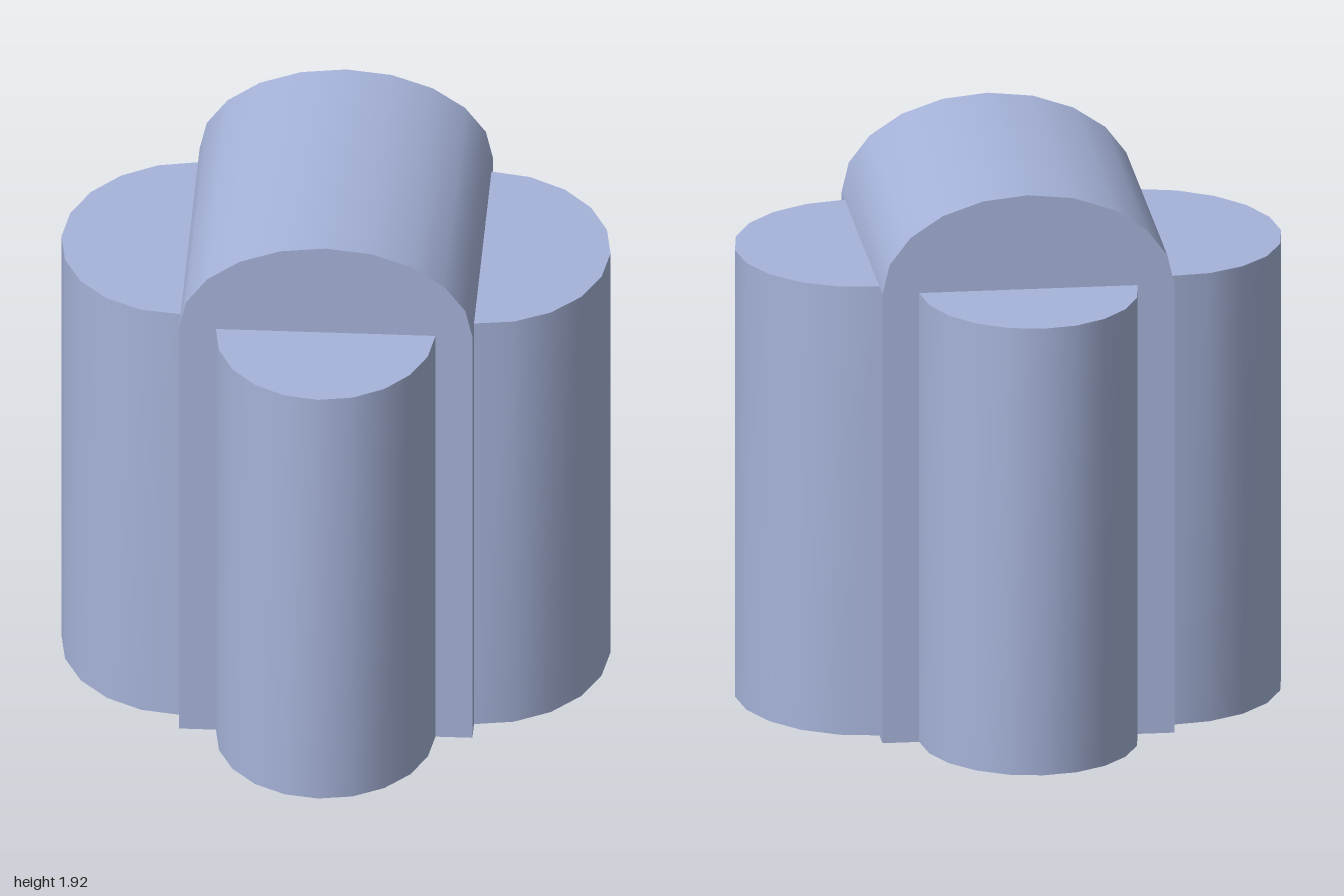
import * as THREE from 'three';

const HALF_X = 0.497, HALF_Z = 0.578;      // central hall footprint
const EAVE = 1.592, RIM = 1.584, TOP = 1.925;
const SEGMENTS = 10;                       // sides of every half ellipse

const shell = new THREE.MeshStandardMaterial({ color: 0xa6b3d9, side: THREE.DoubleSide });
shell.name = 'paleBlue';

// Surface between two rows of points, smooth along the row
function strip(name, rowA, rowB) {
  const n = rowA.length, index = [];
  for (let i = 0; i < n - 1; i++) index.push(i, n + i, i + 1, i + 1, n + i, n + i + 1);
  const geometry = new THREE.BufferGeometry();
  geometry.setAttribute('position', new THREE.Float32BufferAttribute([...rowA, ...rowB].flat(), 3));
  geometry.setIndex(index);
  geometry.computeVertexNormals();
  const mesh = new THREE.Mesh(geometry, shell);
  mesh.name = name;
  return mesh;
}

// Half ellipse from +x to -x: pairs of [across, outward]
function halfEllipse(width, reach) {
  return Array.from({ length: SEGMENTS + 1 }, (_, i) => {
    const t = (i / SEGMENTS) * Math.PI;
    return [width * Math.cos(t), reach * Math.sin(t)];
  });
}

// One side of the building: rounded bay, its cap, and the wall beside it
function bay(name, width, reach, wallHalf, wallZ, angle) {
  const group = new THREE.Group();
  group.name = name;
  const arc = halfEllipse(width, reach);
  const rimY = (out) => EAVE + (RIM - EAVE) * (out / reach);
  const bottom = arc.map(([x, o]) => [x, 0, wallZ + o]);
  const rim = arc.map(([x, o]) => [x, rimY(o), wallZ + o]);
  const chord = arc.map(([x]) => [x, EAVE, wallZ]);
  group.add(strip('bayWall', bottom, rim), strip('bayRoof', rim, chord));
  for (const [from, to] of [[wallHalf, width], [-width, -wallHalf]]) {
    group.add(strip('cornerWall',
      [[from, 0, wallZ], [to, 0, wallZ]],
      [[from, EAVE, wallZ], [to, EAVE, wallZ]]));
  }
  group.rotation.y = angle;
  return group;
}

export function createModel() {
  const model = new THREE.Group();
  model.name = 'vaultedHall';

  // Four bays around the open-bottomed hall
  model.add(
    bay('frontBay', 0.372, 1 - HALF_Z, HALF_X, HALF_Z, 0),
    bay('backBay', 0.372, 1 - HALF_Z, HALF_X, HALF_Z, Math.PI),
    bay('leftBay', 0.49, 0.93 - HALF_X, HALF_Z, HALF_X, Math.PI / 2),
    bay('rightBay', 0.49, 0.93 - HALF_X, HALF_Z, HALF_X, -Math.PI / 2),
  );

  // Barrel vault
  const arch = halfEllipse(HALF_X, TOP - EAVE);
  const archAt = (z) => arch.map(([x, h]) => [x, EAVE + h, z]);
  model.add(strip('vault', archAt(HALF_Z), archAt(-HALF_Z)));

  // Gables closing the vault
  for (const [name, angle] of [['frontGable', 0], ['backGable', Math.PI]]) {
    const gable = strip(name, arch.map(([x]) => [x, EAVE, HALF_Z]), archAt(HALF_Z));
    gable.rotation.y = angle;
    model.add(gable);
  }
  return model;
}
